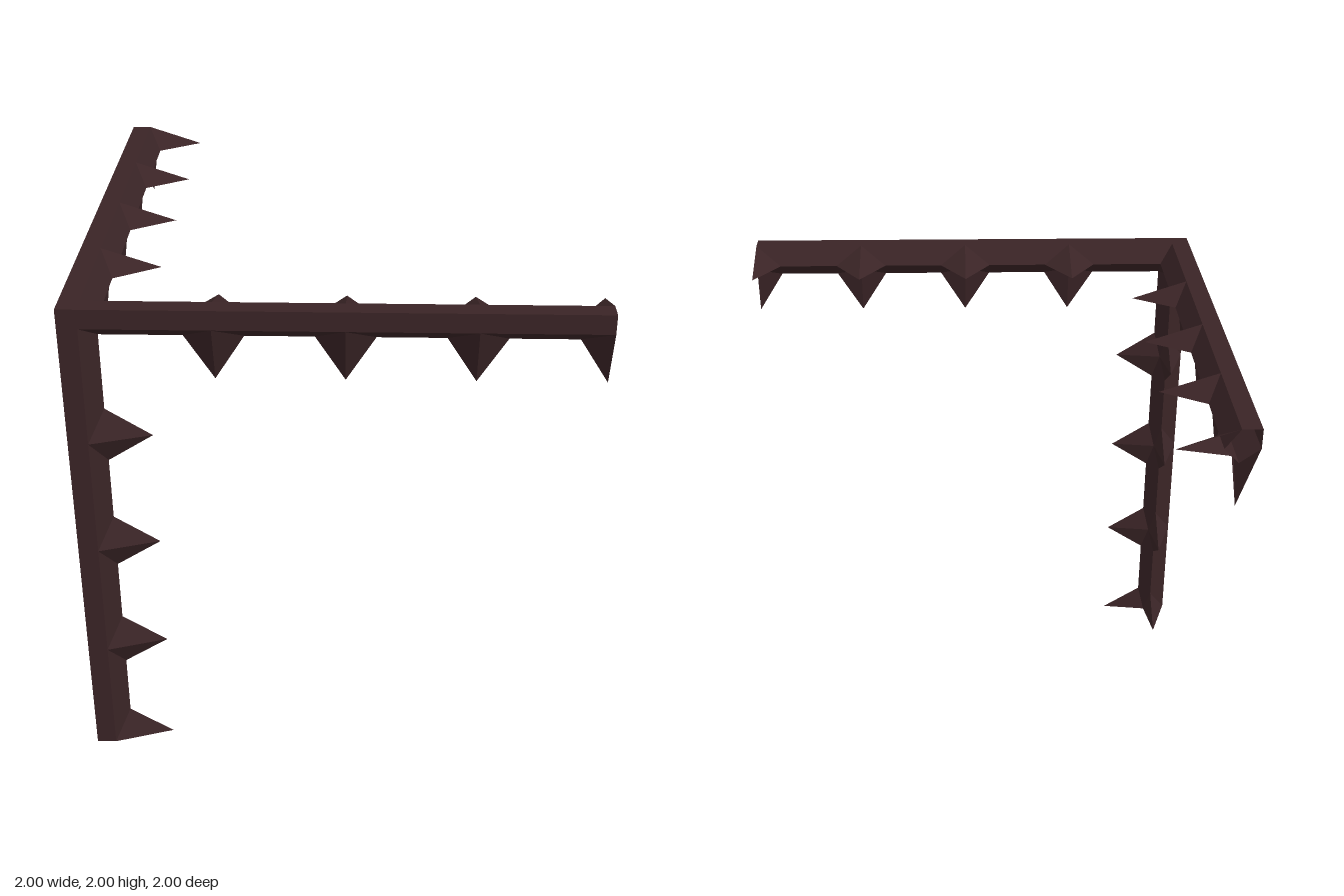
import * as THREE from 'three';

// Beam section sizes and spike sizes, measured from the outer corner
const W = 0.077, D = 0.134, MID = (W + D) / 2;
const LENGTH = 2, TIP = 0.31, HALF = 0.112;
const SPIKES = [0.556, 1.037, 1.518, 2];

function fromTriangles(triangles) {
  const geometry = new THREE.BufferGeometry();
  geometry.setAttribute('position', new THREE.Float32BufferAttribute(triangles.flat(2), 3));
  geometry.computeVertexNormals();
  return geometry;
}

// Five-sided open beam along x, mitred at the corner
function beamGeometry() {
  const section = [[0, 0], [W, 0], [D, W], [W, D], [0, W]];
  const triangles = [];
  section.forEach((a, i) => {
    const b = section[(i + 1) % section.length];
    const a0 = [Math.max(...a), ...a], b0 = [Math.max(...b), ...b];
    const a1 = [LENGTH, ...a], b1 = [LENGTH, ...b];
    triangles.push([a0, b0, b1], [a0, b1, a1]);
  });
  return fromTriangles(triangles);
}

// Pyramid thorn on a ridge of the beam; the one at the beam's end is cut in half
function spikeGeometry(t, mirrored) {
  const tip = [t, TIP, W], outer = [t, W, 0], inner = [t, MID, MID];
  const near = [t - HALF, D, W], far = [t + HALF, D, W];
  let triangles = [[outer, near, tip], [near, inner, tip]];
  if (t < LENGTH) triangles.push([inner, far, tip], [far, outer, tip]);
  if (mirrored) {
    triangles = triangles.map(tri => tri.map(([x, y, z]) => [x, z, y]).reverse());
  }
  return fromTriangles(triangles);
}

export function createModel() {
  const model = new THREE.Group();
  model.name = 'thornedCornerFrame';
  const darkWood = new THREE.MeshStandardMaterial({ color: 0x3a2426, side: THREE.DoubleSide, flatShading: true });
  darkWood.name = 'darkWood';

  const add = (parent, geometry, name) => {
    const mesh = new THREE.Mesh(geometry, darkWood);
    mesh.name = name;
    parent.add(mesh);
  };

  // Corner space: axes run right, down and back from the outer corner
  const frame = new THREE.Group();
  frame.name = 'frame';
  frame.position.set(-1, 2, 1);
  frame.rotation.x = Math.PI;
  model.add(frame);

  // Three identical beams, turned about the corner's diagonal
  const diagonal = new THREE.Vector3(1, 1, 1).normalize();
  ['crossBeam', 'post', 'sideBeam'].forEach((name, k) => {
    const arm = new THREE.Group();
    arm.name = name;
    arm.quaternion.setFromAxisAngle(diagonal, k * Math.PI * 2 / 3);
    add(arm, beamGeometry(), name + 'Body');
    for (const t of SPIKES) {
      for (const mirrored of [false, true]) add(arm, spikeGeometry(t, mirrored), 'spike');
    }
    frame.add(arm);
  });

  // Small facet closing the inside of the corner
  add(frame, fromTriangles([[[D, D, W], [W, D, D], [D, W, D]]]), 'innerCorner');
  return model;
}
